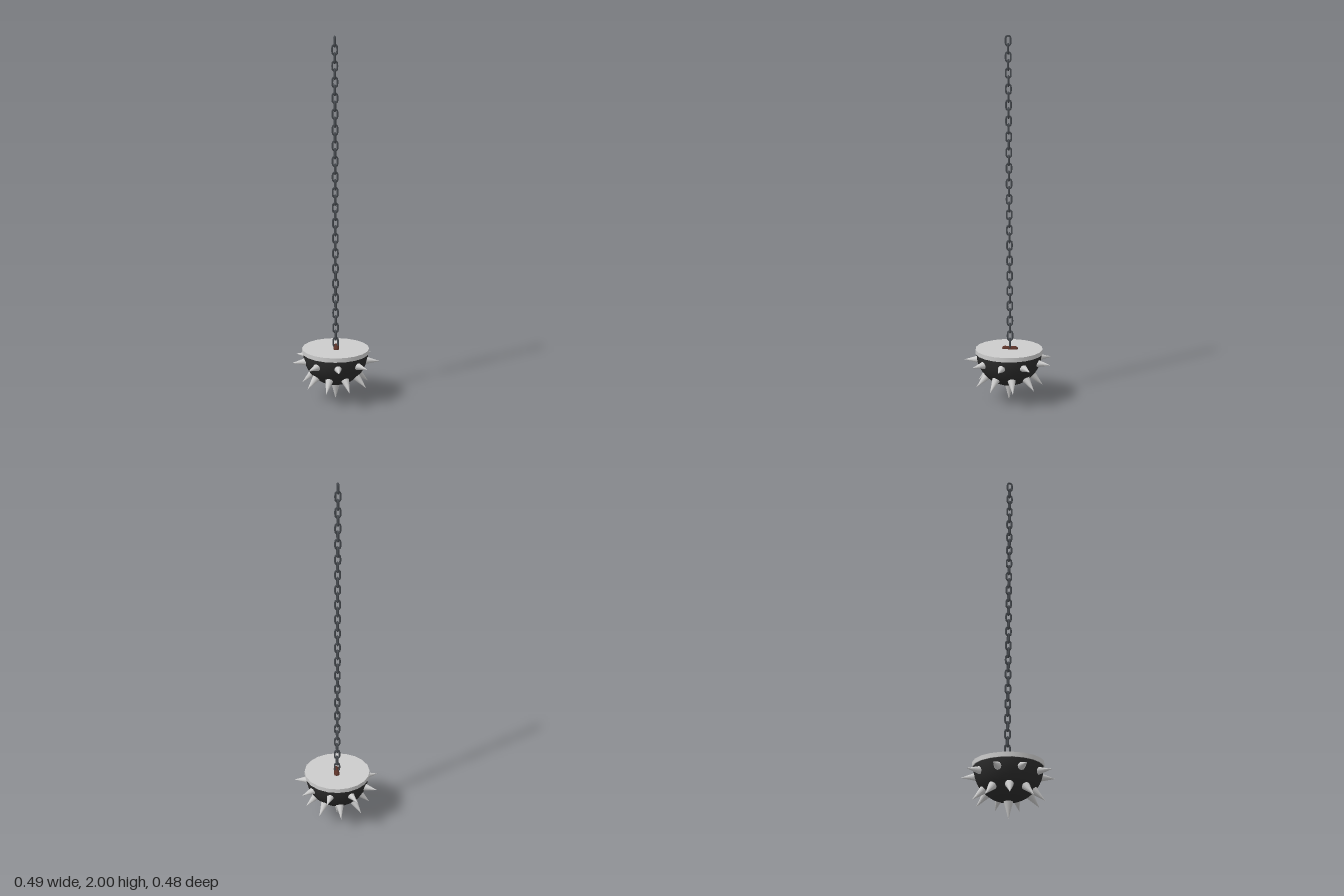
import * as THREE from 'three';

const grey = new THREE.MeshStandardMaterial({ color: 0xcccccc });
const black = new THREE.MeshStandardMaterial({ color: 0x2b2b2b });
const steel = new THREE.MeshStandardMaterial({ color: 0x474b50 });
const rust = new THREE.MeshStandardMaterial({ color: 0x5c3329 });

const CENTRE = new THREE.Vector3(0, 0.27, -0.007); // centre of the half ball
const UP = new THREE.Vector3(0, 1, 0);

function add(parent, name, geometry, material) {
  const mesh = new THREE.Mesh(geometry, material);
  mesh.name = name;
  parent.add(mesh);
  return mesh;
}

// Closed oval path of one chain link, standing in the xy plane
class LinkCurve extends THREE.Curve {
  constructor(radius, straight) {
    super();
    this.radius = radius;
    this.straight = straight;
  }
  getPoint(t, target = new THREE.Vector3()) {
    const a = t * Math.PI * 2;
    const shift = Math.max(-1, Math.min(1, Math.sin(a) * 3)) * this.straight / 2;
    return target.set(Math.cos(a) * this.radius, Math.sin(a) * this.radius + shift, 0);
  }
}

export function createModel() {
  const model = new THREE.Group();
  model.name = 'hangingSpikedHalfBall';

  // Half ball with a flat lid
  const ball = new THREE.Group();
  ball.name = 'spikedHalfBall';
  ball.position.copy(CENTRE);
  model.add(ball);
  add(ball, 'bowl', new THREE.SphereGeometry(0.181, 20, 10, 0, Math.PI * 2, Math.PI / 2, Math.PI / 2), black);
  add(ball, 'lid', new THREE.CylinderGeometry(0.186, 0.186, 0.024, 20), grey).position.y = 0.012;

  // Spikes: two staggered rings and one underneath
  const spikeGeometry = new THREE.ConeGeometry(0.027, 0.1, 12);
  function spike(name, origin, direction, tip) {
    const mesh = add(ball, name, spikeGeometry, grey);
    mesh.quaternion.setFromUnitVectors(UP, direction);
    mesh.position.copy(origin).addScaledVector(direction, tip - 0.05);
  }
  const rings = [
    { name: 'upperSpike', y: -0.036, drop: 0.03, tip: 0.247, turn: 1.5 },
    { name: 'lowerSpike', y: 0, drop: 0.77, tip: 0.261, turn: 21.5 },
  ];
  for (const { name, y, drop, tip, turn } of rings) {
    for (let i = 0; i < 9; i++) {
      const a = THREE.MathUtils.degToRad(turn + i * 40);
      const c = Math.cos(drop);
      const direction = new THREE.Vector3(Math.sin(a) * c, -Math.sin(drop), Math.cos(a) * c);
      spike(name, new THREE.Vector3(0, y, 0), direction, tip);
    }
  }
  spike('bottomSpike', new THREE.Vector3(), new THREE.Vector3(0, -1, 0), 0.27);

  // Rusty staple on the lid that holds the last link
  const staple = add(model, 'staple', new THREE.CapsuleGeometry(0.015, 0.06, 3, 8), rust);
  staple.rotation.set(Math.PI / 2, 0, -0.65);
  staple.position.set(-0.001, 0.294, -0.014);

  // Chain of crossed links, leaning slightly
  const chain = new THREE.Group();
  chain.name = 'chain';
  model.add(chain);
  const linkGeometry = new THREE.TubeGeometry(new LinkCurve(0.0135, 0.025), 20, 0.0055, 6, true);
  const count = 40;
  for (let i = 0; i < count; i++) {
    const t = i / (count - 1);
    const link = add(chain, 'chainLink', linkGeometry, steel);
    link.position.set(-0.003 * t, THREE.MathUtils.lerp(1.968, 0.325, t), THREE.MathUtils.lerp(0.001, -0.012, t));
    link.rotation.y = (i % 2 ? 1 : -1) * Math.PI / 4;
  }
  return model;
}
